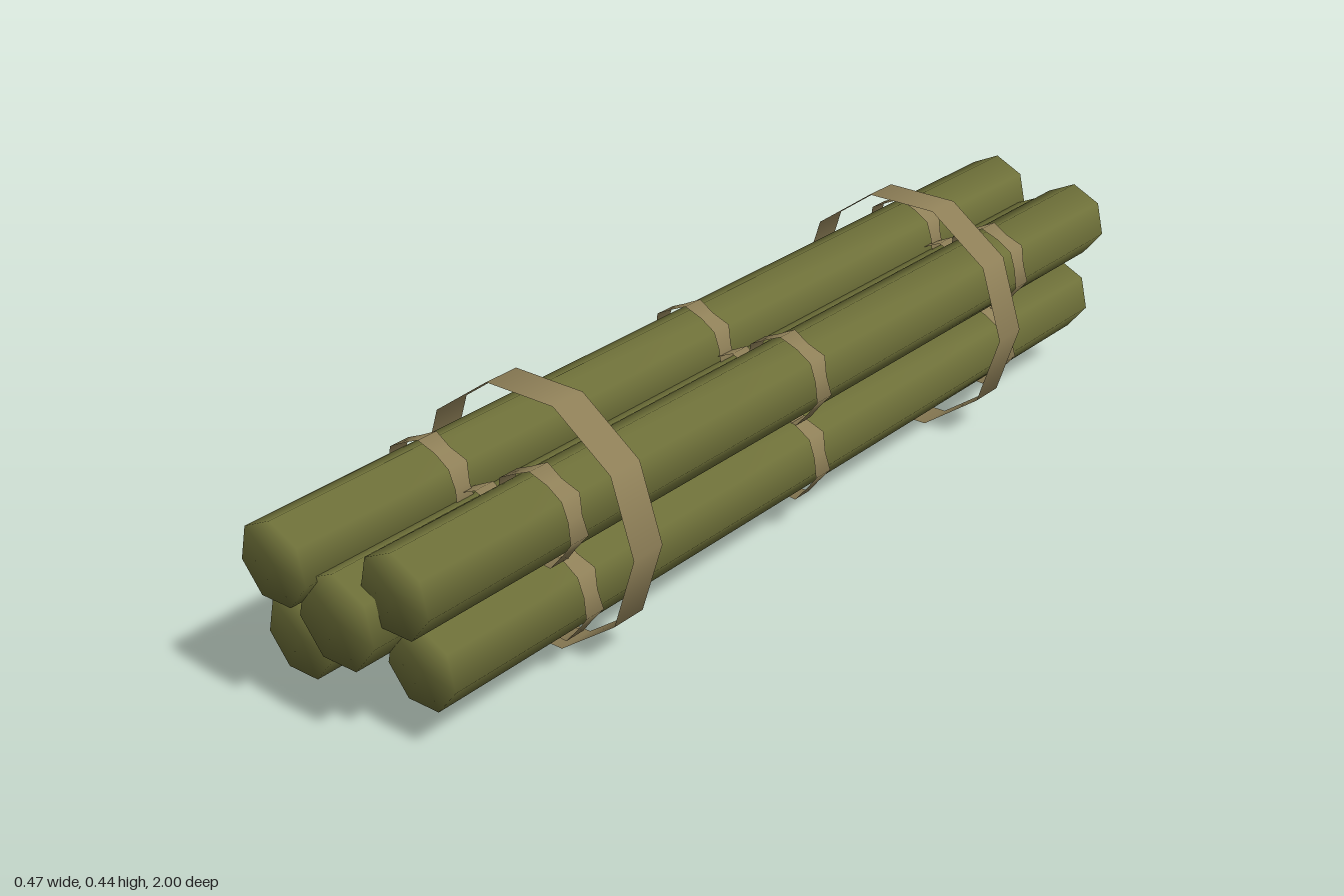
import * as THREE from 'three';
import { mergeVertices } from 'three/addons/utils/BufferGeometryUtils.js';

const CENTRE_Y = 0.222;

export function createModel() {
  const caneMat = new THREE.MeshStandardMaterial({ color: 0x6e7039 });
  caneMat.name = 'olive cane';
  const bandMat = new THREE.MeshStandardMaterial({ color: 0x8f8058, side: THREE.DoubleSide });
  bandMat.name = 'tan binding';

  const group = new THREE.Group();
  group.name = 'poleBundle';

  const add = (parent, name, geo, mat, x, y, z) => {
    const mesh = new THREE.Mesh(geo, mat);
    mesh.name = name;
    mesh.position.set(x, y, z);
    parent.add(mesh);
  };

  // Seven-sided pole along z, one corner up, shading running softly over the ends
  const poleGeometry = (r, length) => {
    let geo = new THREE.CylinderGeometry(r, r, length, 7).rotateX(-Math.PI / 2);
    geo.deleteAttribute('normal');
    geo.deleteAttribute('uv');
    geo = mergeVertices(geo, 1e-4);
    geo.computeVertexNormals();
    return geo;
  };

  // Thin seven-sided sleeve, slightly pinched in width mid-face
  const nodeGeometry = (r, width) => {
    const geo = new THREE.CylinderGeometry(r, r, width, 14, 1, true);
    const p = geo.attributes.position;
    for (let i = 0; i < p.count; i++) {
      if ((i % 15) % 2 === 1) {
        const k = Math.cos(Math.PI / 7);
        p.setXYZ(i, p.getX(i) * k, p.getY(i) * 0.78, p.getZ(i) * k);
      }
    }
    return geo.rotateX(-Math.PI / 2);
  };

  // Poles: name, x, y, radius, length
  const poles = [
    ['upperRightPole', -0.106, 0.295, 0.0733, 2.0],
    ['upperLeftPole', 0.106, 0.295, 0.0733, 1.91],
    ['lowerRightPole', -0.106, 0.148, 0.0733, 1.92],
    ['lowerLeftPole', 0.106, 0.148, 0.0733, 1.82],
    ['centrePole', 0, CENTRE_Y, 0.083, 1.955],
  ];
  for (const [name, x, y, r, length] of poles) {
    const pole = new THREE.Group();
    pole.name = name;
    add(pole, 'cane', poleGeometry(r, length), caneMat, x, y, 0);
    const node = nodeGeometry(r * 1.14, 0.042);
    for (const t of [-1, 0, 1]) add(pole, 'nodeBand', node, bandMat, x, y, t * length / 3);
    group.add(pole);
  }

  // Two wide straps around the whole bundle
  const strap = new THREE.CylinderGeometry(0.233, 0.233, 0.07, 10, 1, true, Math.PI / 2).rotateX(-Math.PI / 2);
  for (const z of [-0.528, 0.528]) add(group, 'bundleStrap', strap, bandMat, 0, CENTRE_Y, z);

  return group;
}
